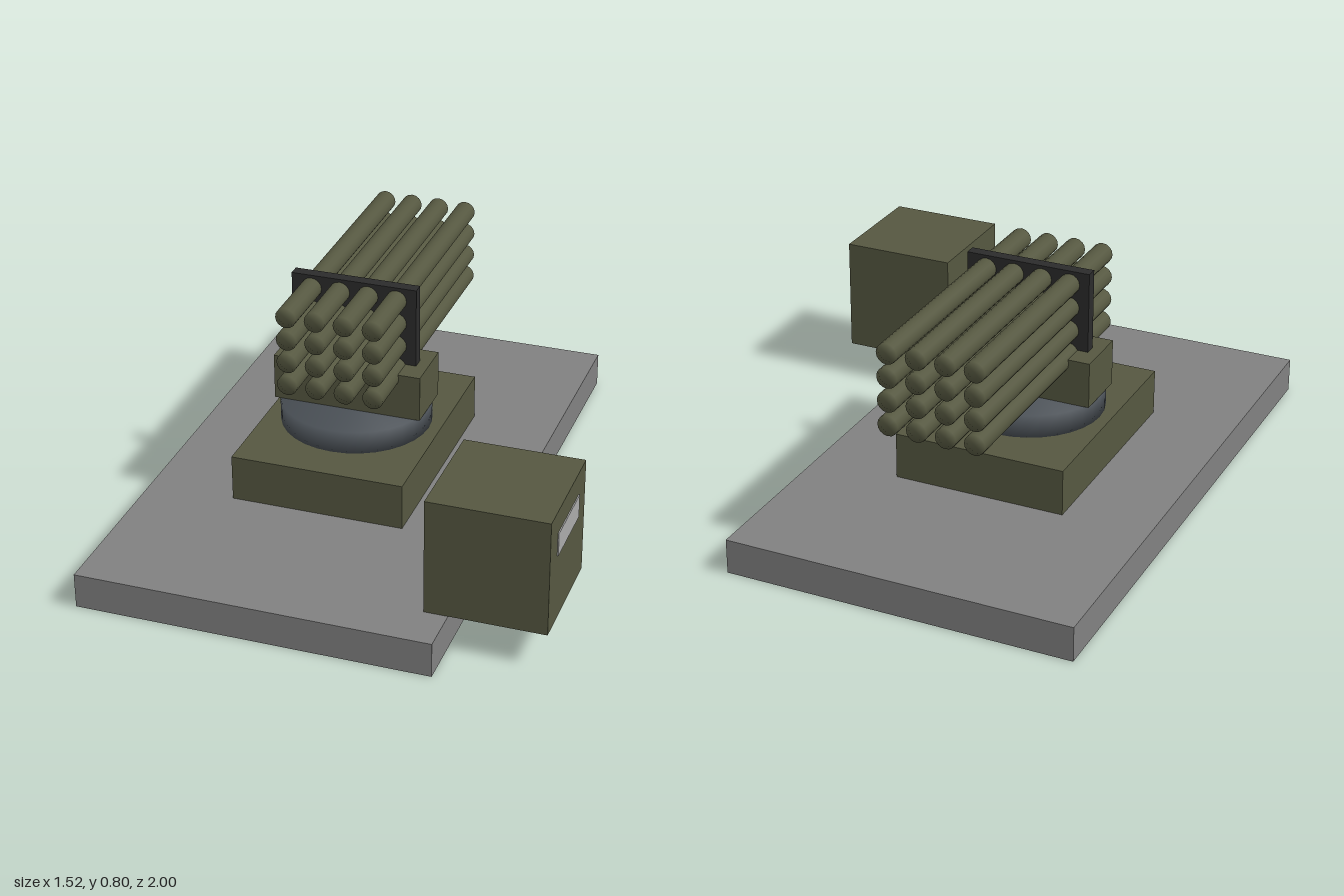
import * as THREE from 'three';
import { mergeVertices } from 'three/addons/utils/BufferGeometryUtils.js';

const material = (name, color) => {
  const m = new THREE.MeshStandardMaterial({ color });
  m.name = name;
  return m;
};

export function createModel() {
  const model = new THREE.Group();
  model.name = 'rocketLauncher';

  const grey = material('concreteGrey', 0x808080);
  const olive = material('oliveGreen', 0x555740);
  const slate = material('slateSteel', 0x4a5056);
  const black = material('charcoal', 0x2b2b2b);
  const silver = material('panelSilver', 0xaaaaaa);

  const CX = -0.162; // launcher centre line

  const add = (parent, name, geometry, mat, x, y, z) => {
    const mesh = new THREE.Mesh(geometry, mat);
    mesh.name = name;
    mesh.position.set(x, y, z);
    parent.add(mesh);
    return mesh;
  };
  const box = (name, w, h, d, mat, x, y, z) =>
    add(model, name, new THREE.BoxGeometry(w, h, d), mat, x, y, z);

  // Cylinder whose rim is shaded smoothly into its caps
  const softCylinder = (radius, length, sides) => {
    const g = new THREE.CylinderGeometry(radius, radius, length, sides);
    g.deleteAttribute('normal');
    g.deleteAttribute('uv');
    const merged = mergeVertices(g);
    merged.computeVertexNormals();
    return merged;
  };

  // Ground slab, plinth and rotating mount
  box('baseSlab', 1.2, 0.12, 2, grey, CX, 0.06, 0);
  box('plinth', 0.6, 0.16, 0.8, olive, CX, 0.2, 0);
  add(model, 'turntable', softCylinder(0.26, 0.08, 32), slate, CX, 0.32, 0);
  box('mountBlock', 0.52, 0.16, 0.2, olive, CX, 0.44, 0);
  box('tubeFrame', 0.44, 0.44, 0.04, black, CX, 0.58, 0);

  // Four by four bank of launch tubes
  const tubes = new THREE.Group();
  tubes.name = 'launchTubes';
  model.add(tubes);
  const tubeGeometry = softCylinder(0.036, 1, 16).rotateX(Math.PI / 2);
  for (let row = 0; row < 4; row++) {
    for (let col = 0; col < 4; col++) {
      add(tubes, 'launchTube', tubeGeometry, olive,
        CX + (col - 1.5) * 0.1, 0.505 + row * 0.083, -0.24);
    }
  }

  // Control cabinet with its side panel
  box('controlCabinet', 0.4, 0.4, 0.4, olive, 0.558, 0.32, 0.64);
  box('controlPanel', 0.008, 0.08, 0.24, silver, 0.758, 0.4, 0.64);

  return model;
}
